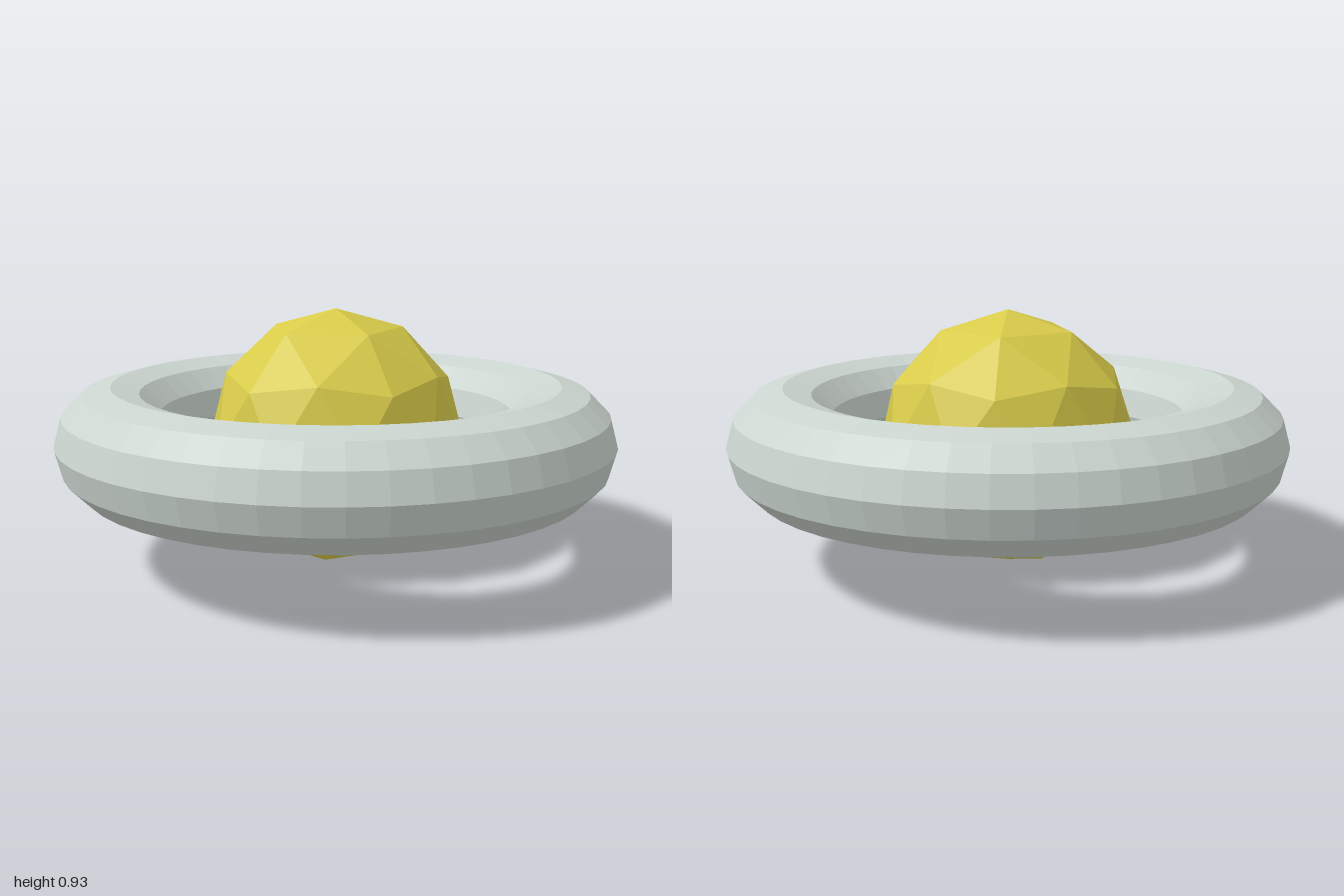
import * as THREE from 'three';

const R = 0.4625; // ball radius, also the height of the shared centre

export function createModel() {
  const model = new THREE.Group();

  const addPart = (name, geometry, color) => {
    const material = new THREE.MeshStandardMaterial({ color, flatShading: true });
    const mesh = new THREE.Mesh(geometry, material);
    mesh.name = name;
    mesh.position.y = R;
    model.add(mesh);
  };

  // Faceted ball, turned so that one corner of the icosahedron points straight up
  const ball = new THREE.IcosahedronGeometry(R, 1);
  ball.rotateZ(-Math.atan(2 / (1 + Math.sqrt(5))));
  addPart('ball', ball, 0xd8cb4a);

  // Horizontal ring around the ball
  const ring = new THREE.TorusGeometry(0.8, 0.2, 12, 48);
  ring.rotateX(Math.PI / 2);
  addPart('ring', ring, 0xcbd5cf);

  return model;
}
